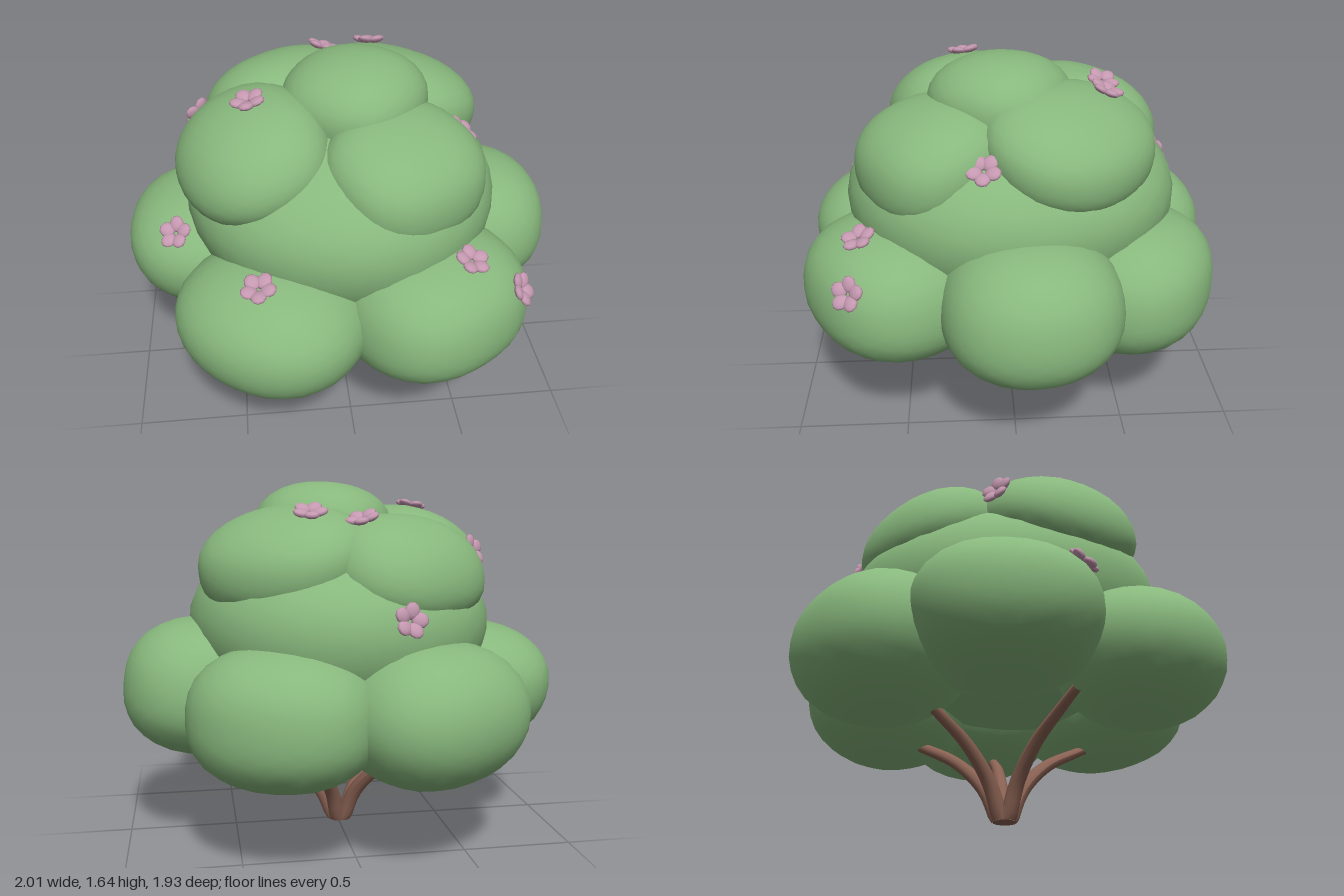
import * as THREE from 'three';
import { mergeVertices } from 'three/addons/utils/BufferGeometryUtils.js';

const leaf = new THREE.MeshStandardMaterial({ name: 'leaf green', color: 0x88b87d });
const bark = new THREE.MeshStandardMaterial({ name: 'bark brown', color: 0x8a6253 });
const petal = new THREE.MeshStandardMaterial({ name: 'petal pink', color: 0xc498b0 });

// Foliage clumps: centre, half sizes (across, up, outward), boxiness power, outward droop.
// Each is turned so that its local z points away from the trunk.
const CLUMPS = {
  core: [[0, 0.98, 0], [0.7, 0.47, 0.75], 2.05, 0],
  lowerLeft: [[0.6, 0.715, -0.06], [0.4, 0.315, 0.4], 2.25, 0],
  lowerRight: [[-0.6, 0.7, -0.07], [0.41, 0.295, 0.4], 2.25, 0],
  lowerFrontLeft: [[0.355, 0.69, 0.54], [0.425, 0.3, 0.375], 2.25, 0],
  lowerFrontRight: [[-0.345, 0.665, 0.555], [0.425, 0.285, 0.38], 2.25, 0],
  lowerBackLeft: [[0.31, 0.665, -0.53], [0.42, 0.305, 0.38], 2.25, 0],
  lowerBackRight: [[-0.31, 0.665, -0.56], [0.425, 0.315, 0.38], 2.25, 0],
  upperFrontLeft: [[0.24, 1.245, 0.36], [0.36, 0.23, 0.3], 2.2, 0.22],
  upperFrontRight: [[-0.4, 1.275, 0.2], [0.38, 0.24, 0.31], 2.2, 0.22],
  upperBackLeft: [[0.28, 1.3, -0.25], [0.41, 0.225, 0.33], 2.2, 0.22],
  upperBackRight: [[-0.24, 1.26, -0.36], [0.38, 0.23, 0.3], 2.2, 0.22],
  crown: [[0.06, 1.42, 0.04], [0.315, 0.225, 0.315], 2.2, 0],
};

// Flowers: clump they sit on and approximate position
const FLOWERS = [
  ['lowerRight', -0.76, 0.9, 0.23],
  ['lowerFrontRight', -0.4, 0.92, 0.7],
  ['lowerFrontLeft', 0.48, 0.97, 0.66],
  ['lowerFrontLeft', 0.69, 0.83, 0.69],
  ['core', 0.53, 1.29, 0.13],
  ['upperFrontRight', -0.4, 1.51, 0.2],
  ['upperBackLeft', 0.17, 1.53, -0.43],
  ['upperBackRight', -0.05, 1.46, -0.42],
  ['core', -0.17, 1.08, -0.7],
  ['upperFrontRight', -0.63, 1.32, -0.12],
];

const UP = new THREE.Vector3(0, 1, 0);

// Length of a vector under a power norm
const norm = (v, p) =>
  (Math.abs(v.x) ** p + Math.abs(v.y) ** p + Math.abs(v.z) ** p) ** (1 / p);

// Heading of a clump seen from the trunk
const heading = (c) => Math.atan2(c[0], c[2]);

function makeClump(name, [c, r, power, droop], seed) {
  let g = new THREE.IcosahedronGeometry(1, 5);
  g.deleteAttribute('uv');
  g.deleteAttribute('normal');
  g = mergeVertices(g, 1e-4);
  const p = g.attributes.position;
  const v = new THREE.Vector3();
  for (let i = 0; i < p.count; i++) {
    v.fromBufferAttribute(p, i);
    const lump = 0.01 * (Math.sin(4 * v.x + seed) + Math.sin(5 * v.y + 2 * seed) + Math.sin(4 * v.z + 3 * seed));
    v.multiplyScalar((1 + lump) / norm(v, power));
    p.setXYZ(i, v.x * r[0], v.y * r[1] - droop * v.z * r[2], v.z * r[2]);
  }
  g.computeVertexNormals();
  const mesh = new THREE.Mesh(g, leaf);
  mesh.name = name;
  mesh.position.set(...c);
  mesh.rotation.y = heading(c);
  return mesh;
}

// Tapered curved branch leaning out along +x
function branchGeometry() {
  const path = new THREE.CatmullRomCurve3(
    [[0.025, 0], [0.1, 0.16], [0.24, 0.3], [0.42, 0.4], [0.54, 0.46]].map(
      ([x, y]) => new THREE.Vector3(x, y, 0)));
  const seg = 16, sides = 10;
  const g = new THREE.TubeGeometry(path, seg, 0.038, sides);
  const p = g.attributes.position;
  const v = new THREE.Vector3();
  for (let i = 0; i < p.count; i++) {
    const t = Math.floor(i / (sides + 1)) / seg;
    const centre = path.getPointAt(t);
    v.fromBufferAttribute(p, i).sub(centre).multiplyScalar(1 - 0.45 * t).add(centre);
    p.setXYZ(i, v.x, Math.max(v.y, 0), v.z);
  }
  g.computeVertexNormals();
  return g;
}

// Five cupped petals facing +y
function makeFlower(petalGeometry) {
  const flower = new THREE.Group();
  flower.name = 'flower';
  for (let i = 0; i < 5; i++) {
    const arm = new THREE.Group();
    arm.rotation.y = (i / 5) * Math.PI * 2;
    const m = new THREE.Mesh(petalGeometry, petal);
    m.name = 'petal';
    m.position.set(0.042, 0.008, 0);
    m.rotation.z = 0.25;
    arm.add(m);
    flower.add(arm);
  }
  return flower;
}

// Puts a flower on the surface of a clump, turned along its normal
function placeFlower(flower, [c, r, power, droop], point) {
  const size = new THREE.Vector3(...r);
  const centre = new THREE.Vector3(...c);
  const d = point.sub(centre).applyAxisAngle(UP, -heading(c));
  d.y += droop * d.z;
  d.divide(size);
  d.divideScalar(norm(d, power));
  const n = d.clone().divide(size);
  n.z += droop * n.y;
  n.normalize().applyAxisAngle(UP, heading(c));
  d.multiply(size);
  d.y -= droop * d.z;
  d.applyAxisAngle(UP, heading(c));
  flower.position.copy(d).add(centre).addScaledVector(n, 0.007);
  flower.quaternion.setFromUnitVectors(UP, n);
}

export function createModel() {
  const model = new THREE.Group();
  model.name = 'floweringBush';

  // Foliage
  const foliage = new THREE.Group();
  foliage.name = 'foliage';
  Object.entries(CLUMPS).forEach(([name, spec], i) => foliage.add(makeClump(name, spec, i * 1.7)));
  model.add(foliage);

  // Branches fanning out from the base
  const branches = new THREE.Group();
  branches.name = 'branches';
  const bg = branchGeometry();
  for (const degrees of [0, 60, 130, 207, 300]) {
    const b = new THREE.Mesh(bg, bark);
    b.name = 'branch';
    b.rotation.y = THREE.MathUtils.degToRad(degrees);
    branches.add(b);
  }
  const base = new THREE.Mesh(new THREE.CylinderGeometry(0.045, 0.055, 0.05, 12), bark);
  base.name = 'base';
  base.position.y = 0.025;
  branches.add(base);
  branches.position.x = -0.01;
  model.add(branches);

  // Flowers
  const flowers = new THREE.Group();
  flowers.name = 'flowers';
  const pg = new THREE.SphereGeometry(1, 10, 6).scale(0.037, 0.016, 0.034);
  FLOWERS.forEach(([clump, x, y, z], i) => {
    const f = makeFlower(pg);
    placeFlower(f, CLUMPS[clump], new THREE.Vector3(x, y, z));
    f.rotateY(i * 0.9);
    flowers.add(f);
  });
  model.add(flowers);
  return model;
}
